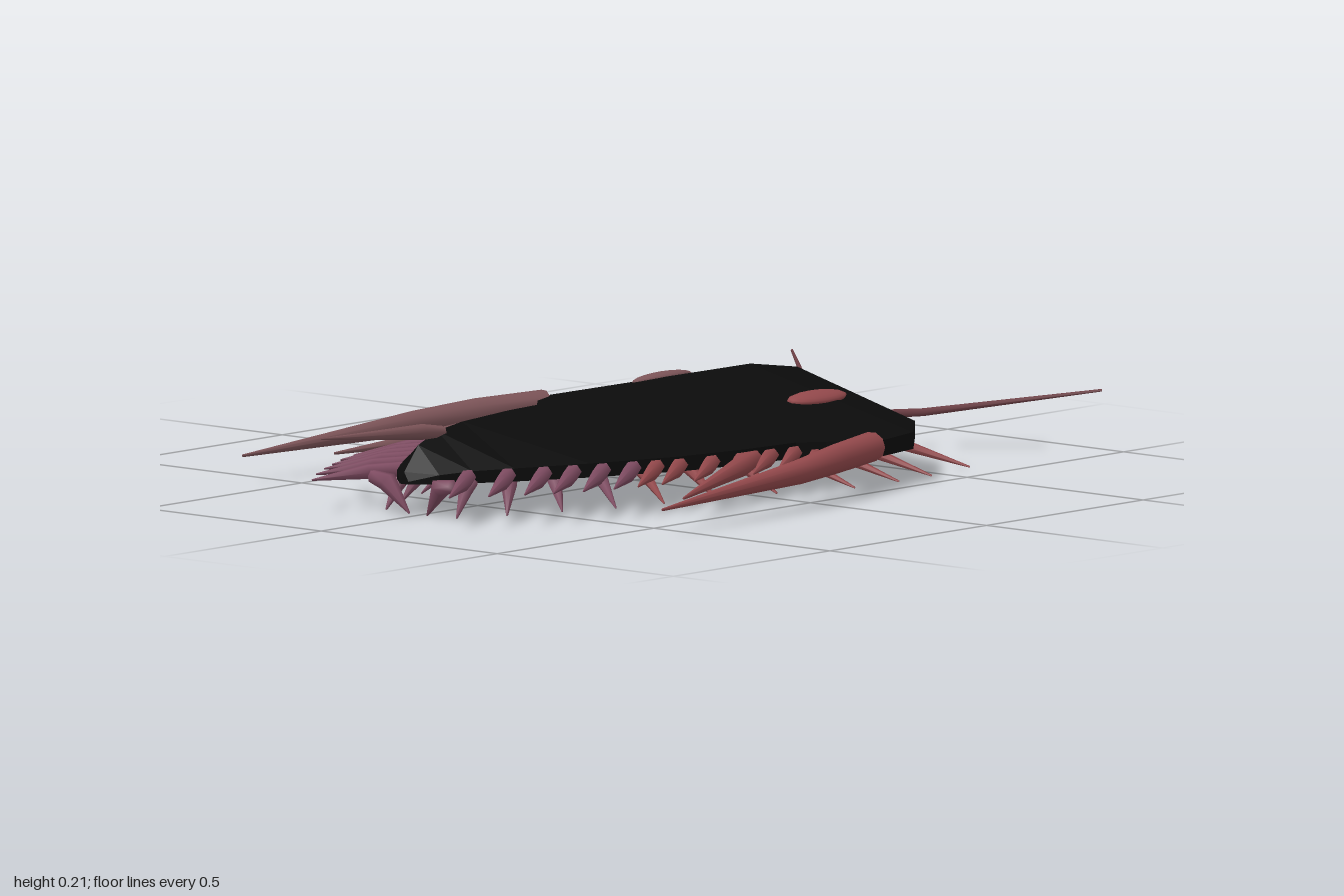
import * as THREE from 'three';

const V = (x, y, z) => new THREE.Vector3(x, y, z);
const paint = (name, color) => {
  const m = new THREE.MeshStandardMaterial({ color });
  m.name = name;
  return m;
};

// Tapered round limb through a list of [x, y, z, radius] joints
function limb(name, joints, material, sides = 8) {
  const pts = joints.map(j => V(j[0], j[1], j[2]));
  const pos = [], idx = [], n = joints.length;
  pts.forEach((p, i) => {
    const dir = pts[Math.min(i + 1, n - 1)].clone().sub(pts[Math.max(i - 1, 0)]).normalize();
    const ref = Math.abs(dir.y) > 0.9 ? V(1, 0, 0) : V(0, 1, 0);
    const u = new THREE.Vector3().crossVectors(ref, dir).normalize();
    const v = new THREE.Vector3().crossVectors(dir, u);
    for (let k = 0; k < sides; k++) {
      const a = k / sides * Math.PI * 2, r = joints[i][3];
      const q = p.clone().addScaledVector(u, Math.cos(a) * r).addScaledVector(v, Math.sin(a) * r);
      pos.push(q.x, q.y, q.z);
    }
  });
  for (let i = 0; i < n - 1; i++) for (let k = 0; k < sides; k++) {
    const a = i * sides + k, b = i * sides + (k + 1) % sides;
    idx.push(a, b, b + sides, a, b + sides, a + sides);
  }
  const last = (n - 1) * sides;
  for (let k = 1; k < sides - 1; k++) idx.push(0, k + 1, k, last, last + k, last + k + 1);
  const g = new THREE.BufferGeometry();
  g.setAttribute('position', new THREE.Float32BufferAttribute(pos, 3));
  g.setIndex(idx);
  g.computeVertexNormals();
  const mesh = new THREE.Mesh(g, material);
  mesh.name = name;
  return mesh;
}

// Roof-shaped shell lofted from [z, half width, edge height, ridge height]
function shell(material) {
  const bottom = 0.074;
  const rows = [
    [-0.597, 0.03, 0.08, 0.085], [-0.58, 0.21, 0.09, 0.125], [-0.545, 0.31, 0.1, 0.175],
    [-0.52, 0.335, 0.105, 0.189], [-0.37, 0.463, 0.11, 0.212], [-0.24, 0.487, 0.108, 0.209],
    [-0.15, 0.41, 0.108, 0.206], [-0.1, 0.37, 0.108, 0.205], [0.05, 0.35, 0.107, 0.203],
    [0.2, 0.315, 0.106, 0.2], [0.4, 0.23, 0.104, 0.196], [0.55, 0.15, 0.102, 0.188],
    [0.63, 0.1, 0.1, 0.177], [0.69, 0.06, 0.094, 0.153], [0.735, 0.012, 0.08, 0.1]
  ];
  const pos = [], idx = [];
  for (const [z, w, e, r] of rows)
    pos.push(-w, bottom, z, w, bottom, z, w, e, z, 0, r, z, -w, e, z);
  for (let i = 0; i < rows.length - 1; i++) for (let k = 0; k < 5; k++) {
    const a = i * 5 + k, b = i * 5 + (k + 1) % 5;
    idx.push(a, b, b + 5, a, b + 5, a + 5);
  }
  const last = (rows.length - 1) * 5;
  for (let k = 1; k < 4; k++) idx.push(0, k + 1, k, last, last + k, last + k + 1);
  let g = new THREE.BufferGeometry();
  g.setAttribute('position', new THREE.Float32BufferAttribute(pos, 3));
  g.setIndex(idx);
  g = g.toNonIndexed();
  g.computeVertexNormals();
  const mesh = new THREE.Mesh(g, material);
  mesh.name = 'shell';
  return mesh;
}

export function createModel() {
  const black = paint('shell black', 0x0b0b0b);
  const red = paint('left red', 0x94494c);
  const grey = paint('right dusky red', 0x7c5458);
  const purple = paint('rear purple', 0x7f4c62);
  const dark = paint('feeler dark red', 0x6d3f45);
  const model = new THREE.Group();
  model.name = 'trilobite';
  model.add(shell(black));

  // Tips [x, z] of the flat spines along the edge of the body
  const edgeTips = [
    [0.44, -0.05], [0.445, 0.04], [0.445, 0.12], [0.435, 0.2], [0.42, 0.28], [0.4, 0.36],
    [0.385, 0.42], [0.37, 0.48], [0.345, 0.55], [0.315, 0.61], [0.285, 0.67], [0.245, 0.74], [0.195, 0.81]
  ];
  // Walking legs: [base x, base z, tip x, tip z]
  const legs = [
    [0.13, -0.45, 0.41, -0.61], [0.13, -0.37, 0.435, -0.46], [0.13, -0.29, 0.44, -0.35],
    [0.13, -0.2, 0.43, -0.22], [0.13, -0.08, 0.36, -0.05], [0.13, 0.04, 0.31, 0.09],
    [0.125, 0.16, 0.28, 0.22], [0.12, 0.28, 0.25, 0.34], [0.115, 0.4, 0.2, 0.455],
    [0.11, 0.52, 0.15, 0.575], [0.09, 0.62, 0.1, 0.68]
  ];

  for (const s of [1, -1]) {
    const side = s > 0 ? red : grey;

    // Eye
    const eye = new THREE.Mesh(new THREE.SphereGeometry(1, 14, 10), side);
    eye.name = 'eye';
    eye.scale.set(0.031, 0.014, 0.09);
    eye.position.set(s * 0.22, 0.164, -0.335);
    eye.rotation.z = -s * 0.2;
    model.add(eye);

    // Long spine at the corner of the head
    model.add(limb('cheekSpine', [
      [s * 0.465, 0.094, -0.235, 0.032], [s * 0.51, 0.09, -0.07, 0.031],
      [s * 0.545, 0.082, 0.09, 0.026], [s * 0.596, 0.06, 0.58, 0.003]], side, 10));

    // Bent antenna
    model.add(limb('antenna', [
      [s * 0.1, 0.088, -0.57, 0.011], [s * 0.157, 0.082, -0.745, 0.009],
      [s * 0.44, 0.129, -0.998, 0.003]], dark, 6));

    // Edge spines, with one longer pair
    for (const [x, z] of edgeTips) {
      model.add(limb('edgeSpine', [
        [s * (x - 0.12), 0.088, z - 0.2, 0.018], [s * (x - 0.06), 0.084, z - 0.11, 0.017],
        [s * x, 0.072, z, 0.002]], z > 0.45 ? purple : side, 6));
    }
    model.add(limb('longEdgeSpine', [
      [s * 0.34, 0.085, 0.0, 0.02], [s * 0.39, 0.08, 0.1, 0.022], [s * 0.496, 0.055, 0.4, 0.003]], side, 6));

    // Walking legs
    for (const [bx, bz, x, z] of legs) {
      const mx = bx + (x - bx) * 0.4, mz = bz + (z - bz) * 0.4;
      model.add(limb('leg', [
        [s * bx, 0.078, bz, 0.016], [s * mx, 0.062, mz, 0.017], [s * x, 0.004, z, 0.002]],
        z > 0.3 ? purple : side, 6));
    }

    // Stubby last leg
    model.add(limb('tailLeg', [
      [s * 0.115, 0.078, 0.71, 0.014], [s * 0.075, 0.07, 0.705, 0.022], [s * 0.025, 0.004, 0.69, 0.002]], purple, 6));
  }

  // Tail spine
  model.add(limb('tailSpine', [
    [0, 0.172, 0.615, 0.014], [0, 0.18, 0.68, 0.017], [0, 0.199, 0.999, 0.002]], grey, 8));

  return model;
}
